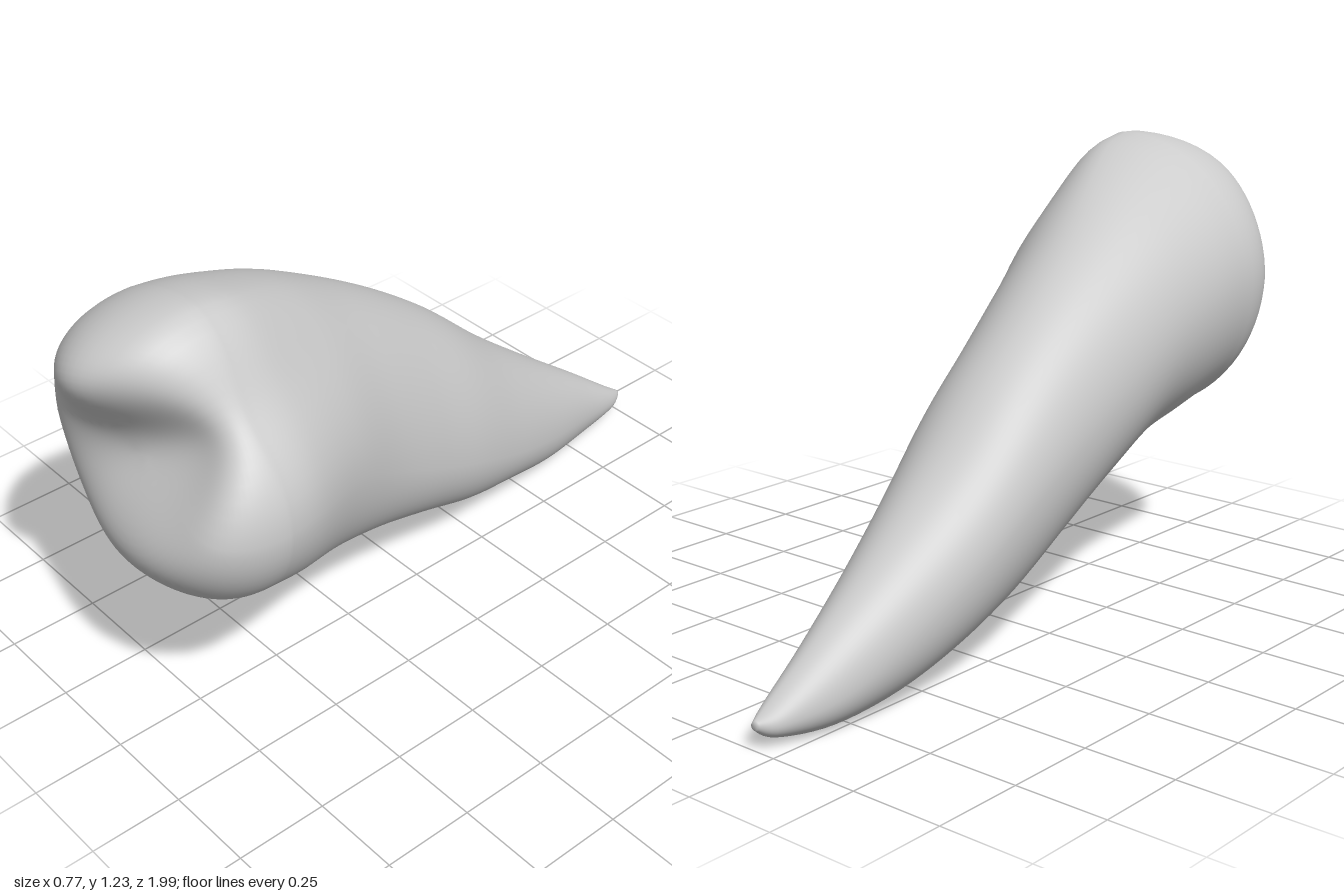
import * as THREE from 'three';

// Cross-sections from root tip to crown: z, then the extreme points
// left (x, y), top (x, y), right (x, y), bottom (x, y)
const SECTIONS = [
  [-1.0, -0.20, 0.06, -0.19, 0.07, -0.18, 0.06, -0.19, 0.05],
  [-0.95, -0.24, 0.06, -0.19, 0.105, -0.155, 0.06, -0.195, 0.02],
  [-0.8, -0.295, 0.10, -0.20, 0.22, -0.115, 0.10, -0.20, 0.0],
  [-0.6, -0.34, 0.20, -0.20, 0.37, -0.05, 0.16, -0.19, 0.012],
  [-0.4, -0.372, 0.32, -0.19, 0.53, 0.015, 0.24, -0.18, 0.06],
  [-0.2, -0.385, 0.45, -0.18, 0.71, 0.075, 0.34, -0.14, 0.115],
  [0.0, -0.385, 0.56, -0.16, 0.86, 0.12, 0.44, -0.09, 0.20],
  [0.2, -0.385, 0.66, -0.12, 0.99, 0.175, 0.56, -0.03, 0.285],
  [0.4, -0.382, 0.75, -0.05, 1.11, 0.26, 0.69, 0.02, 0.36],
  [0.6, -0.378, 0.81, 0.03, 1.20, 0.355, 0.75, 0.01, 0.405],
  [0.72, -0.372, 0.83, 0.05, 1.227, 0.384, 0.76, 0.0, 0.435],
];
const AROUND = 72, STEPS = 6, CAP_RINGS = 26, RIM_Z = 0.72;

// Smooth interpolation between neighbouring sections
function sectionAt(t) {
  const i = Math.min(Math.floor(t), SECTIONS.length - 2), f = t - i;
  const row = k => SECTIONS[Math.max(0, Math.min(SECTIONS.length - 1, k))];
  const [a, b, c, d] = [row(i - 1), row(i), row(i + 1), row(i + 2)];
  return b.map((p, k) => p + 0.5 * f * (c[k] - a[k]
    + f * (2 * a[k] - 5 * p + 4 * c[k] - d[k] + f * (3 * (p - c[k]) + d[k] - a[k]))));
}

// Four quarter-ellipses joined at the extreme points;
// the upper quarter on the +x side flattens towards the crown
function outlinePoint(s, angle) {
  const [z, xl, yl, xt, yt, xr, yr, xb, yb] = s;
  const c = Math.cos(angle), n = Math.sin(angle);
  const mx = n >= 0 ? xt : xb, my = c >= 0 ? yr : yl;
  const flat = c > 0 && n > 0
    ? 1 - 0.21 * THREE.MathUtils.smoothstep(z, 0.1, 0.85) * (2 * c * n) ** 2 : 1;
  return [mx + Math.abs(c) * ((c >= 0 ? xr : xl) - mx) * flat,
    my + Math.abs(n) * ((n >= 0 ? yt : yb) - my) * flat];
}

// Soft elongated bump, turned by an angle
function bump(x, y, cx, cy, along, across, turn) {
  const dx = x - cx, dy = y - cy, c = Math.cos(turn), s = Math.sin(turn);
  return Math.exp(-(((dx * c + dy * s) / along) ** 2) - (((dy * c - dx * s) / across) ** 2));
}

// Chewing surface: an upper cusp, a lower ridge and a slanting valley
function biteHeight(x, y) {
  return 0.92
    + 0.09 * bump(x, y, -0.06, 1.08, 0.18, 0.15, 0.6)
    + 0.045 * bump(x, y, 0.08, 0.62, 0.28, 0.13, 0.3)
    - 0.065 * bump(x, y, 0.02, 0.88, 0.2, 0.14, 0.5)
    - 0.1 * bump(x, y, 0.23, 0.98, 0.2, 0.15, 0.7);
}

function toothGeometry() {
  const pos = [], index = [];
  const last = SECTIONS.length - 1;
  let rings = 0;
  const addRing = place => {
    for (let j = 0; j < AROUND; j++) pos.push(...place(j / AROUND * Math.PI * 2));
    rings++;
  };

  // Root and sides of the crown
  for (let i = 0; i <= last * STEPS; i++) {
    const s = sectionAt(i / STEPS);
    addRing(a => [...outlinePoint(s, a), s[0]]);
  }
  // Rounded rim, sloping more at the bottom, and chewing surface
  const rim = SECTIONS[last], cx = 0, cy = 0.84;
  for (let i = 1; i < CAP_RINGS; i++) {
    const s = Math.cos(i / CAP_RINGS * Math.PI / 2);
    addRing(a => {
      const [rx, ry] = outlinePoint(rim, a);
      const x = cx + (rx - cx) * s, y = cy + (ry - cy) * s;
      const power = 6 - 2.5 * Math.max(0, -Math.sin(a));
      return [x, y, RIM_Z + (biteHeight(x, y) - RIM_Z) * Math.sqrt(1 - s ** power)];
    });
  }
  for (let i = 0; i < rings - 1; i++) {
    for (let j = 0; j < AROUND; j++) {
      const k = (j + 1) % AROUND;
      const a = i * AROUND + j, b = i * AROUND + k;
      index.push(a, b, b + AROUND, a, b + AROUND, a + AROUND);
    }
  }
  // Close both ends
  const tip = pos.length / 3, mid = tip + 1, top = (rings - 1) * AROUND;
  pos.push(-0.19, 0.06, -1.0, cx, cy, biteHeight(cx, cy));
  for (let j = 0; j < AROUND; j++) {
    const k = (j + 1) % AROUND;
    index.push(tip, k, j, mid, top + j, top + k);
  }
  const geo = new THREE.BufferGeometry();
  geo.setAttribute('position', new THREE.Float32BufferAttribute(pos, 3));
  geo.setIndex(index);
  geo.computeVertexNormals();
  return geo;
}

export function createModel() {
  const group = new THREE.Group();
  group.name = 'tooth';
  const enamel = new THREE.MeshStandardMaterial({ color: 0xcccccc });
  enamel.name = 'light grey enamel';
  const tooth = new THREE.Mesh(toothGeometry(), enamel);
  tooth.name = 'crownAndRoot';
  group.add(tooth);
  return group;
}
